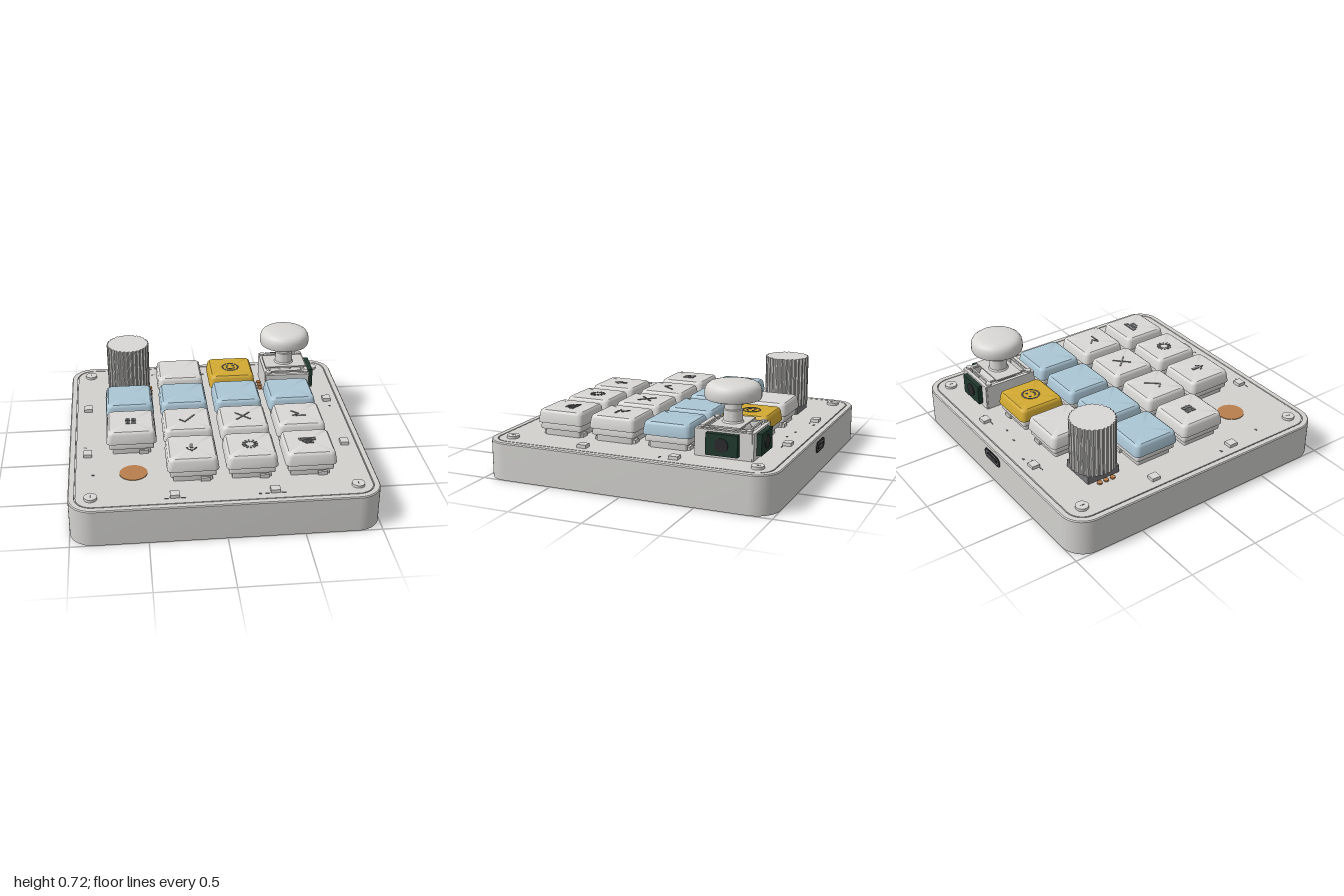
import * as THREE from 'three';
import { toCreasedNormals } from 'three/addons/utils/BufferGeometryUtils.js';

const material = (name, color) => Object.assign(new THREE.MeshStandardMaterial({ color }), { name });

// closed solid through rounded rectangles [halfX, halfZ, y, cornerRadius], listed bottom to top
function loft(rings, steps = 8) {
  const loops = rings.map(([hx, hz, y, r]) => {
    const pts = [];
    for (let q = 0; q < 4; q++) {
      const sx = q === 0 || q === 3 ? 1 : -1, sz = q < 2 ? -1 : 1;
      for (let i = 0; i <= steps; i++) {
        const a = (q + i / steps) * Math.PI / 2;
        pts.push([sx * (hx - r) + r * Math.cos(a), y, sz * (hz - r) - r * Math.sin(a)]);
      }
    }
    return pts;
  });
  const pos = [], n = loops[0].length, last = loops[loops.length - 1];
  const tri = (a, b, c) => pos.push(...a, ...b, ...c);
  for (let i = 0; i < n; i++) {
    const j = (i + 1) % n;
    for (let k = 0; k + 1 < loops.length; k++) {
      const lo = loops[k], hi = loops[k + 1];
      tri(lo[i], lo[j], hi[j]);
      tri(lo[i], hi[j], hi[i]);
    }
    tri([0, last[0][1], 0], last[i], last[j]);
    tri([0, loops[0][0][1], 0], loops[0][j], loops[0][i]);
  }
  const g = new THREE.BufferGeometry();
  g.setAttribute('position', new THREE.Float32BufferAttribute(pos, 3));
  return toCreasedNormals(g, 0.6);
}

export function createModel() {
  const root = new THREE.Group();
  const shell = material('case grey', 0xd2d1ce);
  const light = material('key grey', 0xd9d8d5);
  const blue = material('key blue', 0xabc6d5);
  const gold = material('key yellow', 0xd3aa33);
  const ink = material('symbol grey', 0x77787a);
  const copper = material('copper', 0xb97f4e);
  const green = material('sensor green', 0x21392f);
  const black = material('port dark', 0x2b2b2d);

  const add = (name, geo, mat, x = 0, y = 0, z = 0, parent = root) => {
    const m = new THREE.Mesh(geo, mat);
    m.name = name;
    m.position.set(x, y, z);
    parent.add(m);
    return m;
  };
  const box = (name, w, h, d, mat, x, y, z, parent) => add(name, new THREE.BoxGeometry(w, h, d), mat, x, y, z, parent);
  const cyl = (name, r, h, mat, x, y, z, parent, n = 32) => add(name, new THREE.CylinderGeometry(r, r, h, n), mat, x, y, z, parent);
  const TOP = 0.255;

  // case with a fine seam around the top plate
  add('case', loft([[1, 1, 0, 0.16], [1, 1, 0.248, 0.16], [0.994, 0.994, TOP, 0.154], [0.96, 0.96, TOP, 0.12],
    [0.96, 0.96, 0.243, 0.12], [0.953, 0.953, 0.243, 0.113], [0.953, 0.953, TOP, 0.113]], 12), shell);

  // corner screws
  for (const x of [-0.855, 0.855]) for (const z of [-0.855, 0.855]) {
    cyl('screw', 0.042, 0.02, light, x, TOP + 0.008, z);
    box('screwSlot', 0.008, 0.002, 0.03, ink, x, TOP + 0.0185, z);
  }

  // small lamps along the edges, with solder marks on both sides
  const lamps = [[-0.325, -0.875], [0.315, -0.875], [-0.325, 0.87], [0.315, 0.87]];
  for (const [x, z] of lamps) {
    box('lamp', 0.062, 0.025, 0.055, light, x, TOP + 0.01, z);
    for (const s of [-1, 1]) box('lampMark', 0.03, 0.003, 0.007, ink, x + s * 0.052, TOP + 0.001, z + 0.025);
  }
  for (const x of [-0.875, 0.875]) for (const z of [-0.32, 0.32])
    box('lamp', 0.057, 0.025, 0.062, light, x, TOP + 0.01, z);
  for (const [x, z] of [[-0.22, -0.89], [0, -0.83], [0.13, -0.81], [0.88, -0.22], [-0.895, 0.22], [-0.84, 0.575], [0.215, 0.895]])
    box('boardMark', 0.018, 0.003, 0.012, ink, x, TOP + 0.001, z);

  // touch pad
  cyl('touchPad', 0.092, 0.006, copper, -0.577, TOP + 0.001, 0.572, root, 40);

  // socket in the back wall
  const socket = new THREE.Group();
  socket.name = 'socket';
  socket.position.set(0, 0.185, -1);
  socket.rotation.x = -Math.PI / 2;
  root.add(socket);
  add('socketRim', loft([[0.1, 0.038, -0.02, 0.037], [0.1, 0.038, 0.004, 0.037]]), black, 0, 0, 0, socket);
  add('socketShell', loft([[0.08, 0.025, 0, 0.024], [0.08, 0.025, 0.006, 0.024]]), ink, 0, 0, 0, socket);
  add('socketOpening', loft([[0.07, 0.017, 0, 0.016], [0.07, 0.017, 0.008, 0.016]]), black, 0, 0, 0, socket);
  box('socketTongue', 0.1, 0.004, 0.008, ink, 0, 0.008, 0, socket);

  // symbol helpers, drawn on a key top in x and z
  const stroke = (g, x1, z1, x2, z2, w = 0.011) => {
    const m = box('symbolStroke', Math.hypot(x2 - x1, z2 - z1) + w * 0.5, 0.005, w, ink, (x1 + x2) / 2, 0.432, (z1 + z2) / 2, g);
    m.rotation.y = -Math.atan2(z2 - z1, x2 - x1);
  };
  const path = (g, ...p) => { for (let i = 0; i + 3 < p.length; i += 2) stroke(g, p[i], p[i + 1], p[i + 2], p[i + 3]); };
  const arc = (g, r, start, length, z = 0) => {
    const m = add('symbolArc', new THREE.TorusGeometry(r, 0.005, 4, 28, length), ink, 0, 0.431, z, g);
    m.rotation.set(Math.PI / 2, 0, start);
    m.scale.z = 0.6;
  };
  const symbols = {
    smile(g) {
      arc(g, 0.058, 0, Math.PI * 2);
      arc(g, 0.03, 0.3, Math.PI - 0.6);
      for (const s of [-1, 1]) cyl('symbolDot', 0.008, 0.005, ink, s * 0.022, 0.432, -0.018, g, 10);
    },
    grid(g) {
      for (const x of [-0.02, 0.02]) for (const z of [-0.02, 0.02])
        path(g, x - 0.011, z - 0.011, x + 0.011, z - 0.011, x + 0.011, z + 0.011, x - 0.011, z + 0.011, x - 0.011, z - 0.011);
    },
    check: g => path(g, -0.05, 0.01, -0.018, 0.042, 0.05, -0.045),
    cross: g => { path(g, -0.045, -0.045, 0.045, 0.045); path(g, -0.045, 0.045, 0.045, -0.045); },
    prompt: g => { path(g, -0.04, -0.035, 0, 0, -0.04, 0.028); path(g, -0.02, 0.03, 0.045, 0.03); },
    microphone(g) {
      box('symbolBody', 0.022, 0.005, 0.055, ink, 0, 0.432, -0.012, g);
      arc(g, 0.03, 0, Math.PI, 0.005);
      path(g, 0, 0.035, 0, 0.05);
    },
    burst(g) {
      for (let i = 0; i < 12; i++) {
        const a = i * Math.PI / 6, c = Math.cos(a), s = Math.sin(a);
        stroke(g, c * 0.03, s * 0.03, c * 0.05, s * 0.05);
      }
    },
    stack(g) {
      path(g, -0.055, -0.04, 0.055, -0.04, 0.05, -0.018, -0.05, -0.018, -0.055, -0.04);
      path(g, -0.035, 0, 0.03, 0, 0.03, 0.022, -0.012, 0.022, -0.035, 0);
    },
  };

  // keys: switch below, rounded cap above
  const capGeo = loft([[0.168, 0.168, 0.345, 0.035], [0.168, 0.168, 0.355, 0.035], [0.16, 0.16, 0.41, 0.035],
    [0.155, 0.155, 0.423, 0.035], [0.146, 0.146, 0.43, 0.03]]);
  const switchGeo = loft([[0.128, 0.128, 0.25, 0.01], [0.128, 0.128, 0.298, 0.01], [0.15, 0.15, 0.3, 0.012],
    [0.15, 0.15, 0.325, 0.012], [0.138, 0.138, 0.36, 0.012]], 3);
  const at = i => -0.578 + 0.383 * i;
  const layout = [
    [null, [light], [gold, 'smile'], null],
    [[blue], [blue], [blue], [blue]],
    [[light, 'grid'], [light, 'check'], [light, 'cross'], [light, 'prompt']],
    [null, [light, 'microphone'], [light, 'burst'], [light, 'stack']],
  ];
  layout.forEach((row, j) => row.forEach((key, i) => {
    if (!key) return;
    const g = new THREE.Group();
    g.name = 'key';
    g.position.set(at(i), 0, at(j));
    root.add(g);
    add('keySwitch', switchGeo, shell, 0, 0, 0, g);
    add('keyCap', capGeo, key[0], 0, 0, 0, g);
    box('switchTab', 0.06, 0.025, 0.29, shell, 0.08, 0.267, 0, g);
    if (key[1]) symbols[key[1]](g);
  }));

  // rotary knob with fluted side
  const knob = new THREE.Group();
  knob.name = 'knob';
  knob.position.set(-0.57, 0, -0.58);
  root.add(knob);
  const flutes = new THREE.Shape();
  const teeth = 30;
  for (let i = 0; i < teeth * 4; i++) {
    const a = i / (teeth * 4) * Math.PI * 2, r = i % 4 < 2 ? 0.153 : 0.144;
    flutes[i ? 'lineTo' : 'moveTo'](r * Math.cos(a), r * Math.sin(a));
  }
  const knobGeo = new THREE.ExtrudeGeometry(flutes, { depth: 0.35, bevelEnabled: false });
  add('knobGrip', knobGeo.rotateX(-Math.PI / 2), light, 0, 0.305, 0, knob);
  box('knobBase', 0.24, 0.06, 0.24, ink, 0, 0.28, 0, knob);
  for (const x of [-0.148, 0.152]) for (const z of [-0.05, 0, 0.05])
    cyl('knobPin', 0.018, 0.012, copper, x, TOP + 0.004, z, knob, 16);

  // thumb stick: open housing, side sensors, gimbal, stem and cap
  const stick = new THREE.Group();
  stick.name = 'thumbStick';
  stick.position.set(0.594, 0, -0.597);
  root.add(stick);
  box('housingFloor', 0.32, 0.06, 0.38, light, 0, 0.285, 0, stick);
  for (const s of [-1, 1]) {
    box('housingSideWall', 0.025, 0.175, 0.37, light, s * 0.152, 0.345, 0, stick);
    box('housingEndWall', 0.32, 0.175, 0.025, light, 0, 0.345, s * 0.183, stick);
    box('housingRib', 0.31, 0.012, 0.012, shell, 0, 0.438, s * 0.15, stick);
    box('housingRib', 0.012, 0.012, 0.34, shell, s * 0.12, 0.438, 0, stick);
    cyl('cornerPost', 0.02, 0.19, light, s * 0.14, 0.35, 0.16, stick, 12);
    cyl('cornerPost', 0.02, 0.19, light, s * 0.14, 0.35, -0.16, stick, 12);
  }
  const arch = cyl('gimbalArch', 0.1, 0.24, shell, 0, 0.345, 0, stick);
  arch.rotation.z = Math.PI / 2;
  box('gimbalPlate', 0.3, 0.01, 0.2, shell, 0, 0.45, 0, stick);
  box('sideSensor', 0.04, 0.14, 0.21, green, 0.185, 0.35, 0, stick);
  box('backSensor', 0.21, 0.14, 0.035, green, 0, 0.35, -0.21, stick);
  const dial = cyl('sensorDial', 0.045, 0.008, black, 0.206, 0.35, 0, stick, 24);
  dial.rotation.z = Math.PI / 2;
  const backDial = cyl('sensorDial', 0.045, 0.008, black, 0, 0.35, -0.229, stick, 24);
  backDial.rotation.x = Math.PI / 2;
  for (const d of [-0.05, 0, 0.05]) {
    cyl('stickPin', 0.018, 0.012, copper, -0.18, TOP + 0.004, d, stick, 16);
    cyl('stickPin', 0.016, 0.012, copper, d, TOP + 0.004, 0.2, stick, 16);
  }
  const turned = (name, pts) => add(name, toCreasedNormals(
    new THREE.LatheGeometry(pts.map(p => new THREE.Vector2(...p)), 40), 0.6), light, 0, 0, 0, stick);
  turned('stickStem', [[0, 0.42], [0.08, 0.42], [0.07, 0.455], [0.062, 0.465], [0.062, 0.535], [0.055, 0.54], [0.055, 0.61]]);
  turned('stickCap', [[0, 0.602], [0.165, 0.602], [0.175, 0.606], [0.18, 0.618], [0.18, 0.655], [0.176, 0.675],
    [0.165, 0.693], [0.148, 0.705], [0.12, 0.712], [0.07, 0.716], [0, 0.718]]);

  return root;
}
